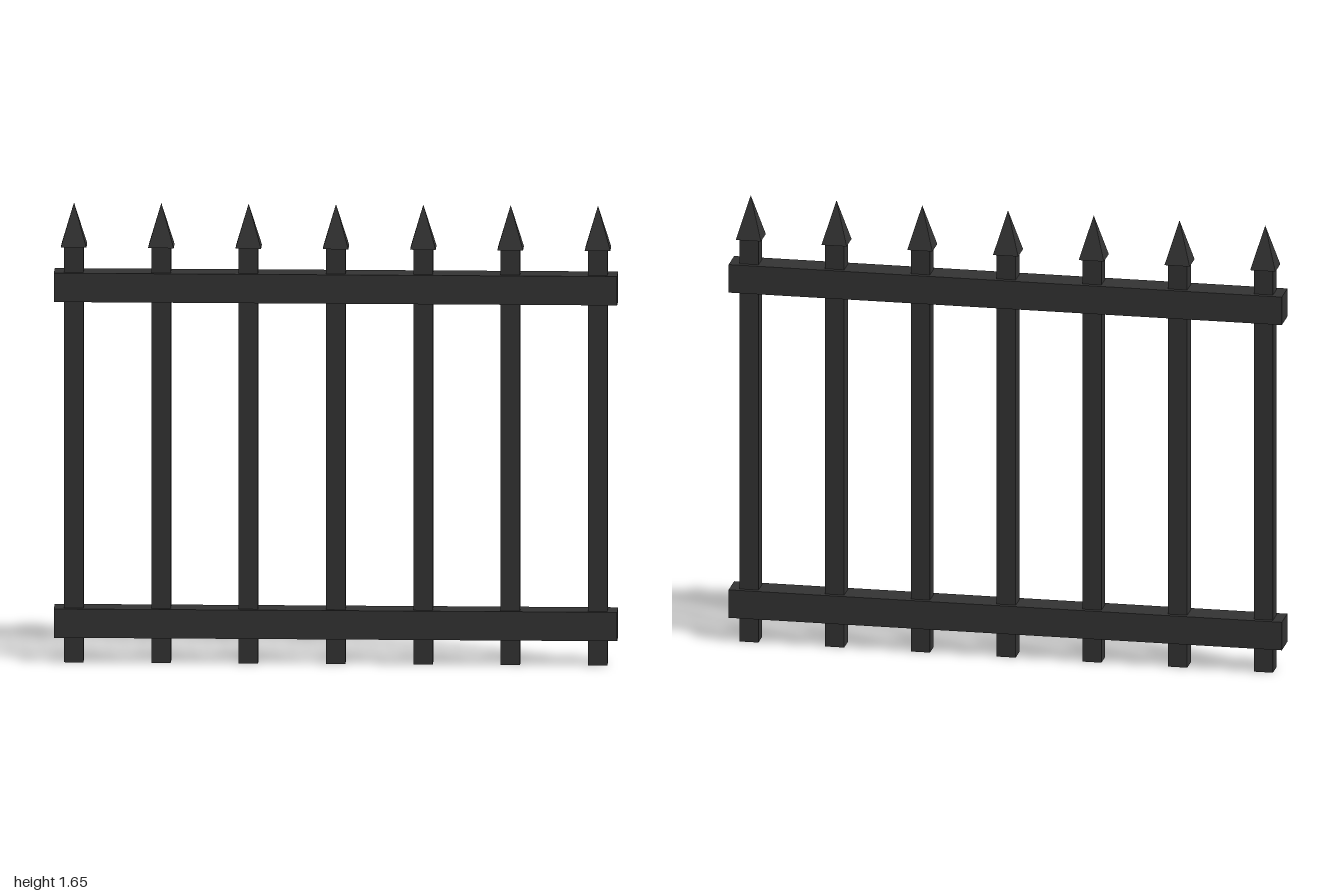
import * as THREE from 'three';

const iron = new THREE.MeshStandardMaterial({ color: 0x333333, flatShading: true });
iron.name = 'dark iron';

const PICKETS = 7, SPACING = 0.31;
const PICKET_WIDTH = 0.069, PICKET_TOP = 1.495, TIP_TOP = 1.65, TIP_WIDTH = 0.091;
const RAIL_HEIGHT = 0.104, RAIL_DEPTH = 0.104;

function addPart(parent, name, geometry, y) {
  const mesh = new THREE.Mesh(geometry, iron);
  mesh.name = name;
  mesh.position.y = y;
  parent.add(mesh);
}

export function createModel() {
  const fence = new THREE.Group();
  fence.name = 'fence';

  // Horizontal rails
  const rail = new THREE.BoxGeometry(2, RAIL_HEIGHT, RAIL_DEPTH);
  addPart(fence, 'lowerRail', rail, 0.143);
  addPart(fence, 'upperRail', rail, 1.352);

  // Square pickets, each with a pyramid tip
  const post = new THREE.BoxGeometry(PICKET_WIDTH, PICKET_TOP, PICKET_WIDTH);
  const tipHeight = TIP_TOP - PICKET_TOP;
  const tip = new THREE.ConeGeometry(TIP_WIDTH / Math.SQRT2, tipHeight, 4).rotateY(Math.PI / 4);
  for (let i = 0; i < PICKETS; i++) {
    const picket = new THREE.Group();
    picket.name = 'picket';
    picket.position.x = (i - (PICKETS - 1) / 2) * SPACING;
    addPart(picket, 'post', post, PICKET_TOP / 2);
    addPart(picket, 'spearTip', tip, PICKET_TOP + tipHeight / 2);
    fence.add(picket);
  }
  return fence;
}
